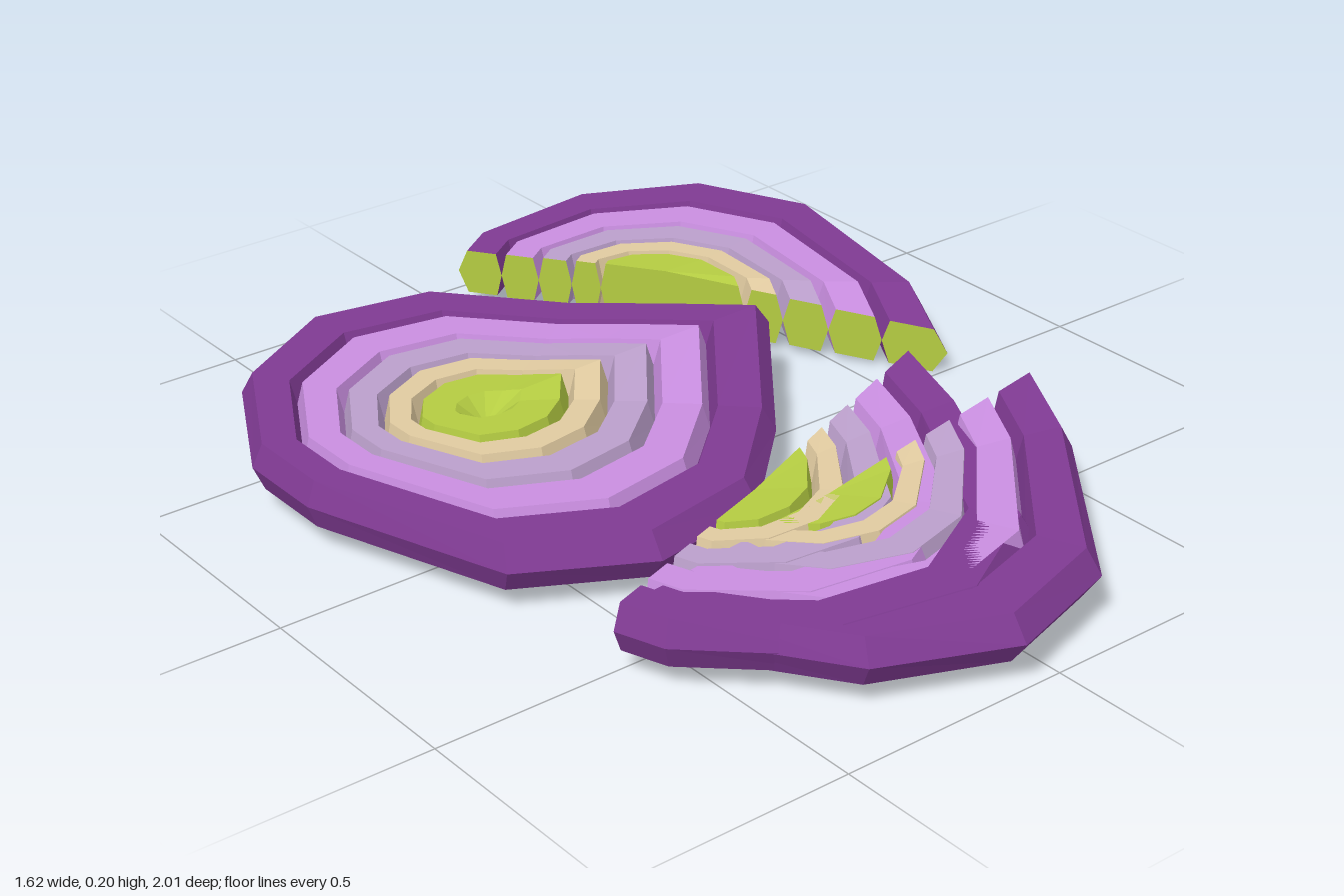
import * as THREE from 'three';

const mat = (color) => new THREE.MeshStandardMaterial({ color, flatShading: true });
const CUT = 0xb4cc42;

// Layers from skin to heart: outer and inner scale, half thickness
const LAYERS = [
  { name: 'skinRing', color: 0x7f3a92, out: 1, in: 0.79, h: 0.05 },
  { name: 'outerRing', color: 0xc98ee0, out: 0.79, in: 0.61, h: 0.052 },
  { name: 'middleRing', color: 0xbb9fcb, out: 0.61, in: 0.45, h: 0.055 },
  { name: 'innerRing', color: 0xe0caa0, out: 0.45, in: 0.31, h: 0.058 },
  { name: 'heart', color: 0xb4cc42, out: 0.31, in: 0, h: 0.06 },
];

// Outlines as [x, z, lift] around the heart; lift curls the pointed end
const WHOLE = [
  [-0.44, 0.04, 0], [-0.29, 0.48, 0], [-0.04, 0.62, 0], [0.23, 0.57, 0], [0.45, 0.36, 0],
  [0.69, 0.05, 1],
  [0.57, -0.125, 0.5], [0.44, -0.30, 0], [0.23, -0.55, 0], [-0.04, -0.60, 0], [-0.29, -0.45, 0], [-0.44, -0.16, 0],
];
const HALF = [
  [-0.48, 0, 0], [-0.48, 0.108, 0], [-0.33, 0.394, 0], [-0.08, 0.54, 0],
  [0.20, 0.49, 0], [0.53, 0.163, 0.35], [0.627, 0, 1],
];

// Bevelled cross-section of a layer as [scale, y]
function section(L, half) {
  if (L.in > 0) {
    const bevelOut = L.out === 1 ? 0.045 : 0.025;
    return [[L.out, 0], [L.out - bevelOut, L.h], [L.in + 0.025, L.h], [L.in, 0],
      [L.in + 0.025, -L.h], [L.out - bevelOut, -L.h]];
  }
  return half
    ? [[L.out, 0], [L.out - 0.025, L.h], [0, L.h], [0, -L.h], [L.out - 0.025, -L.h]]
    : [[L.out, 0], [L.out - 0.025, L.h], [0.14, L.h], [0, 0.015], [0, -0.015], [0.14, -L.h], [L.out - 0.025, -L.h]];
}

function toMesh(name, color, positions) {
  const geo = new THREE.BufferGeometry();
  geo.setAttribute('position', new THREE.Float32BufferAttribute(positions, 3));
  geo.computeVertexNormals();
  const mesh = new THREE.Mesh(geo, mat(color));
  mesh.name = name;
  return mesh;
}

// Sweep every layer's section round the outline; half slices get capped ends
function makeSlice(name, outline, half) {
  const group = new THREE.Group();
  group.name = name;
  const power = half ? 1.45 : 1.25;
  const cut = [];
  for (const L of LAYERS) {
    const sec = section(L, half);
    const rows = outline.map(([x, z, lift]) => sec.map(([k, y]) => [
      x * k * (1 - 0.12 * lift * (1 - k)),
      y + 0.05 * lift * k,
      z * Math.pow(k, power),
    ]));
    const pos = [];
    const count = half ? rows.length - 1 : rows.length;
    for (let i = 0; i < count; i++) {
      const a = rows[i], b = rows[(i + 1) % rows.length];
      for (let j = 0; j < sec.length; j++) {
        const n = (j + 1) % sec.length;
        pos.push(...a[j], ...b[j], ...a[n], ...b[j], ...b[n], ...a[n]);
      }
    }
    group.add(toMesh(L.name, L.color, pos));
    if (half) {
      const first = rows[0], last = rows[rows.length - 1];
      for (let j = 1; j < sec.length - 1; j++) {
        cut.push(...first[0], ...first[j], ...first[j + 1]);
        cut.push(...last[0], ...last[j + 1], ...last[j]);
      }
    }
  }
  if (half) group.add(toMesh('cutFace', CUT, cut));
  return group;
}

// Lay a half slice with its cut running from the blunt end to the pointed tip
function placeHalf(slice, [x0, z0], [x1, z1], y, flipped) {
  const dir = new THREE.Vector3(x1 - x0, 0, z1 - z0).normalize();
  const up = new THREE.Vector3(0, flipped ? -1 : 1, 0);
  const side = new THREE.Vector3().crossVectors(dir, up);
  slice.quaternion.setFromRotationMatrix(new THREE.Matrix4().makeBasis(dir, up, side));
  slice.position.set(x0, y, z0).addScaledVector(dir, 0.48);
  return slice;
}

export function createModel() {
  const model = new THREE.Group();
  model.name = 'slicedOnion';

  const whole = makeSlice('wholeSlice', WHOLE, false);
  whole.position.set(-0.37, 0.1, -0.24);
  model.add(whole);

  // One half turned over at the back, two overlapping at the front
  model.add(placeHalf(makeSlice('backHalfSlice', HALF, true), [0.02, -0.9], [0.65, 0.01], 0.1, true));
  model.add(placeHalf(makeSlice('frontHalfSlice', HALF, true), [-0.63, 0.52], [0.41, 0.16], 0.102, false));
  model.add(placeHalf(makeSlice('overlappingHalfSlice', HALF, true), [-0.556, 0.518], [0.54, 0.385], 0.1, false));
  return model;
}
